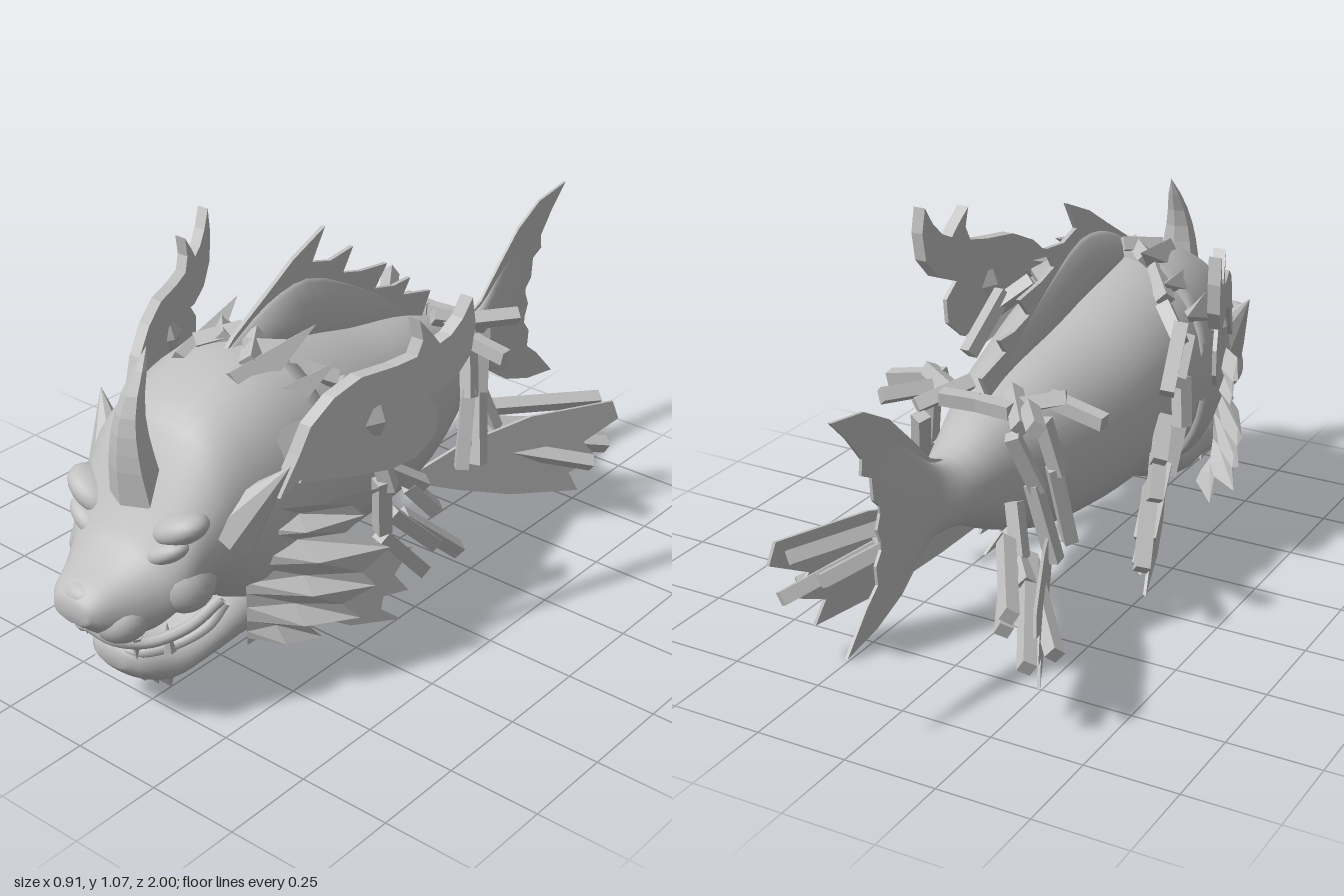
import * as THREE from 'three';

const V = (p) => new THREE.Vector3(...p);

// Copy a geometry to the other side of x = 0, keeping faces outward
function mirrorX(geo) {
  const g = geo.index ? geo.toNonIndexed() : geo.clone();
  g.scale(-1, 1, 1);
  for (const a of Object.values(g.attributes)) {
    for (let i = 0; i < a.count; i += 3) {
      for (let k = 0; k < a.itemSize; k++) {
        const t = a.getComponent(i + 1, k);
        a.setComponent(i + 1, k, a.getComponent(i + 2, k));
        a.setComponent(i + 2, k, t);
      }
    }
  }
  return g;
}

function flat(geo) {
  const g = geo.index ? geo.toNonIndexed() : geo;
  g.computeVertexNormals();
  return g;
}

function mesh3(pos, idx) {
  const g = new THREE.BufferGeometry();
  g.setAttribute('position', new THREE.Float32BufferAttribute(pos, 3));
  g.setIndex(idx);
  g.computeVertexNormals();
  return g;
}

// Smooth tube of oval rings, front to back: [z, half width, top y, bottom y]
function loft(sections, power = 0.9, n = 36) {
  const steps = (sections.length - 1) * 3;
  const a = new THREE.CatmullRomCurve3(sections.map((s) => V([s[0], s[1], 0])));
  const b = new THREE.CatmullRomCurve3(sections.map((s) => V([s[0], s[2], s[3]])));
  const pos = [], idx = [];
  const bend = (v) => Math.sign(v) * Math.abs(v) ** power;
  for (let i = 0; i <= steps; i++) {
    const p = a.getPoint(i / steps), q = b.getPoint(i / steps);
    for (let j = 0; j < n; j++) {
      const t = (j / n) * Math.PI * 2;
      pos.push(p.y * bend(Math.cos(t)), (q.y + q.z) / 2 + ((q.y - q.z) / 2) * bend(Math.sin(t)), p.x);
    }
  }
  for (let i = 0; i < steps; i++) {
    for (let j = 0; j < n; j++) {
      const k = (j + 1) % n, p = i * n, q = p + n;
      idx.push(p + j, q + j, p + k, p + k, q + j, q + k);
    }
  }
  [sections[0], sections[sections.length - 1]].forEach((s, e) => {
    const c = pos.length / 3, base = e ? steps * n : 0;
    pos.push(0, (s[2] + s[3]) / 2, s[0]);
    for (let j = 0; j < n; j++) {
      const k = (j + 1) % n;
      idx.push(c, base + (e ? k : j), base + (e ? j : k));
    }
  });
  return mesh3(pos, idx);
}

// Faceted fan from a root line to a jagged edge; even ribs are raised tips, odd ribs sunken valleys
function fan(ribs) {
  const pos = [], idx = [];
  ribs.forEach(([y0, x, y, z], i) => {
    const lift = i % 2 ? -0.008 : 0.022;
    pos.push(0.2, y0, 0.61, (0.2 + x) / 2 + lift, (y0 + y) / 2, (0.61 + z) / 2 + lift, x, y, z);
    if (i) {
      for (let c = 0; c < 2; c++) {
        const p = i * 3 + c, q = p - 3;
        idx.push(p, p + 1, q, q, p + 1, q + 1);
      }
    }
  });
  return flat(mesh3(pos, idx));
}

// Upright plate from a [z, y] outline, leaning outward by the function x(z, y)
function plate(outline, thick, x = () => 0) {
  const shape = new THREE.Shape(outline.map(([z, y]) => new THREE.Vector2(-z, y)));
  const g = new THREE.ExtrudeGeometry(shape, { depth: thick, bevelEnabled: false });
  g.translate(0, 0, -thick / 2).rotateY(Math.PI / 2);
  const p = g.attributes.position;
  for (let i = 0; i < p.count; i++) p.setX(i, p.getX(i) + x(p.getZ(i), p.getY(i)));
  return flat(g);
}

// Place a geometry that runs along y between two points
function between(g, a, b) {
  const A = V(a), B = V(b), d = B.clone().sub(A).normalize();
  g.applyQuaternion(new THREE.Quaternion().setFromUnitVectors(new THREE.Vector3(0, 1, 0), d));
  const m = A.add(B).multiplyScalar(0.5);
  return g.translate(m.x, m.y, m.z);
}
const dist = (a, b) => V(a).distanceTo(V(b));
const spike = (a, b, r, n = 4) => flat(between(new THREE.ConeGeometry(r, dist(a, b), n), a, b));
const stick = (a, b, w) => between(new THREE.BoxGeometry(w, dist(a, b), w), a, b);
const blob = (c, s, rz = 0) => new THREE.SphereGeometry(1, 20, 14).scale(...s).rotateZ(rz).translate(...c);
const tube = (pts, r) => new THREE.TubeGeometry(new THREE.CatmullRomCurve3(pts.map(V)), 20, r, 8);

export function createModel() {
  const model = new THREE.Group();
  const grey = new THREE.MeshStandardMaterial({ color: 0xbfbfbf, side: THREE.DoubleSide });
  grey.name = 'grey';
  const add = (name, geo) => {
    const m = new THREE.Mesh(geo, grey);
    m.name = name;
    model.add(m);
  };
  const pair = (name, geo) => {
    add(name + 'Left', geo);
    add(name + 'Right', mirrorX(geo));
  };

  // Fish body narrowing to the tail root
  add('body', loft([[0.6, 0.22, 0.78, 0.22], [0.45, 0.272, 0.86, 0.22], [0.2, 0.265, 0.82, 0.25], [0, 0.235, 0.765, 0.25], [-0.2, 0.185, 0.72, 0.27],
    [-0.4, 0.115, 0.65, 0.35], [-0.52, 0.075, 0.595, 0.41], [-0.6, 0.03, 0.61, 0.41], [-0.7, 0.013, 0.69, 0.36], [-0.82, 0.004, 0.78, 0.32]]));

  // Head with tapering snout and open jaw
  add('head', loft([[1, 0.055, 0.42, 0.365], [0.97, 0.085, 0.45, 0.335], [0.91, 0.12, 0.48, 0.29], [0.85, 0.155, 0.52, 0.285], [0.8, 0.19, 0.59, 0.31],
    [0.74, 0.21, 0.69, 0.335], [0.68, 0.23, 0.775, 0.32], [0.6, 0.25, 0.825, 0.25], [0.48, 0.27, 0.865, 0.19], [0.35, 0.275, 0.87, 0.22]], 0.85));
  add('lowerJaw', loft([[0.885, 0.05, 0.235, 0.18], [0.85, 0.095, 0.25, 0.14], [0.78, 0.13, 0.25, 0.105], [0.7, 0.165, 0.28, 0.13],
    [0.6, 0.19, 0.34, 0.15], [0.45, 0.2, 0.36, 0.16], [0.3, 0.14, 0.34, 0.24]]));
  add('nose', blob([0, 0.42, 0.945], [0.065, 0.036, 0.05]));
  pair('muzzle', blob([0.065, 0.35, 0.895], [0.07, 0.06, 0.07], 0.3));
  pair('cheek', blob([0.14, 0.42, 0.76], [0.075, 0.08, 0.08], 0.4));
  pair('eyelid', blob([0.115, 0.505, 0.795], [0.08, 0.032, 0.05], 0.5));
  pair('brow', blob([0.14, 0.565, 0.765], [0.085, 0.04, 0.06], 0.45));
  pair('upperLip', tube([[0, 0.325, 0.945], [0.055, 0.295, 0.92], [0.11, 0.28, 0.86], [0.17, 0.31, 0.78], [0.2, 0.36, 0.7]], 0.015));
  pair('lowerLip', tube([[0, 0.23, 0.87], [0.07, 0.23, 0.85], [0.12, 0.24, 0.79], [0.175, 0.285, 0.72], [0.195, 0.34, 0.68]], 0.015));
  pair('upperFang', spike([0.09, 0.3, 0.88], [0.085, 0.225, 0.875], 0.018, 6));
  pair('lowerFang', spike([0.12, 0.23, 0.8], [0.125, 0.32, 0.81], 0.018, 6));
  pair('temple', spike([0.19, 0.53, 0.65], [0.315, 0.71, 0.57], 0.08, 8));

  // Chin tufts
  for (let i = 0; i < 5; i++) {
    const x = (i - 2) * 0.035;
    add('chinTuft', spike([x, 0.15, 0.82 - i * 0.01], [x * 1.3, 0.068 + Math.abs(i - 2) * 0.012, 0.77], 0.04));
  }

  // Curved forehead horn, full at the base
  const hornGeo = new THREE.CylinderGeometry(1, 1, 1, 6, 8);
  const hp = hornGeo.attributes.position;
  const hornPath = new THREE.CatmullRomCurve3([V([0, 0.6, 0.755]), V([0, 0.72, 0.775]), V([0, 0.84, 0.77]), V([0, 0.975, 0.71])]);
  for (let i = 0; i < hp.count; i++) {
    const t = hp.getY(i) + 0.5, c = hornPath.getPoint(t), r = 0.078 * Math.max(1 - t, 0) ** 0.7;
    hp.setXYZ(i, hp.getX(i) * r, c.y, c.z + hp.getZ(i) * r * 0.85);
  }
  add('horn', flat(hornGeo));

  // Curled ear antlers with two upturned tips
  const earX = (z) => 0.275 + 0.36 * (0.5 - z);
  pair('earAntler', plate([[0.56, 0.6], [0.51, 0.7], [0.48, 0.77], [0.42, 0.83], [0.35, 0.865], [0.26, 0.87], [0.205, 0.88], [0.19, 0.92], [0.2, 0.975],
    [0.165, 0.93], [0.145, 0.9], [0.115, 0.915], [0.085, 0.95], [0.06, 1.0], [0.05, 0.93], [0.06, 0.85], [0.1, 0.795], [0.16, 0.77],
    [0.3, 0.78], [0.4, 0.74], [0.47, 0.66]], 0.035, earX));
  pair('earLobe', plate([[0.5, 0.62], [0.44, 0.72], [0.38, 0.79], [0.28, 0.81], [0.18, 0.78], [0.135, 0.72], [0.14, 0.65], [0.19, 0.6], [0.26, 0.585], [0.38, 0.6]],
    0.012, earX));
  pair('earBud', new THREE.OctahedronGeometry(1).scale(0.022, 0.06, 0.05).translate(0.35, 0.73, 0.29));

  // Faceted cheek mane
  pair('mane', fan([[0.56, 0.4, 0.575, 0.31], [0.52, 0.35, 0.535, 0.39], [0.49, 0.365, 0.5, 0.36], [0.45, 0.34, 0.46, 0.4], [0.41, 0.415, 0.41, 0.32], [0.36, 0.375, 0.35, 0.38],
    [0.33, 0.395, 0.305, 0.35], [0.29, 0.345, 0.265, 0.42], [0.25, 0.37, 0.215, 0.38], [0.22, 0.27, 0.2, 0.47], [0.2, 0.28, 0.14, 0.42], [0.18, 0.2, 0.16, 0.5]]));
  // Crest locks behind the skull
  [[0.08, 0.8, 0.13, 0.905], [0.15, 0.74, 0.2, 0.83], [0.2, 0.68, 0.27, 0.75]]
    .forEach(([x0, y0, x, y]) => pair('crestLock', spike([x0, y0, 0.5], [x, y, 0.26], 0.07)));

  // Saw-edged dorsal fin and its thicker root
  add('dorsalFin', plate([[0.5, 0.82], [0.42, 0.89], [0.3, 0.96], [0.2, 1.02], [0.08, 1.07], [0.13, 0.99], [0.06, 0.97], [-0.03, 0.98], [0.01, 0.92], [-0.06, 0.9],
    [-0.17, 0.885], [-0.12, 0.83], [-0.2, 0.81], [-0.27, 0.81], [-0.24, 0.77], [-0.36, 0.74], [-0.32, 0.67], [0, 0.72], [0.4, 0.76]], 0.012));
  add('dorsalRoot', loft([[0.46, 0.02, 0.86, 0.78], [0.3, 0.04, 0.94, 0.78], [0.15, 0.035, 0.96, 0.75], [-0.05, 0.02, 0.87, 0.7], [-0.25, 0.006, 0.75, 0.67]], 1.3, 12));

  // Forked tail fin with scalloped rear edge
  add('tailFin', plate([[-0.52, 0.585], [-0.6, 0.62], [-0.68, 0.7], [-0.77, 0.785], [-0.87, 0.84], [-1, 0.86], [-0.94, 0.8], [-0.885, 0.73], [-0.89, 0.69], [-0.85, 0.67], [-0.845, 0.61],
    [-0.815, 0.58], [-0.835, 0.53], [-0.815, 0.48], [-0.845, 0.44], [-0.84, 0.39], [-0.89, 0.35], [-0.975, 0.26], [-0.85, 0.28], [-0.74, 0.32], [-0.64, 0.39], [-0.52, 0.415]], 0.008));

  // Paired belly fins
  pair('pectoralFin', plate([[0.42, 0.28], [0.39, 0.19], [0.33, 0.11], [0.23, 0.045], [0.07, 0.003], [0.13, 0.055], [0.12, 0.09], [0.04, 0.08], [0.08, 0.14], [0.02, 0.2], [0.12, 0.25], [0.25, 0.29]],
    0.009, (z, y) => 0.15 + 0.25 * (0.4 - z) + 0.1 * (0.2 - y)));
  pair('pelvicFin', plate([[-0.14, 0.27], [-0.3, 0.2], [-0.45, 0.145], [-0.65, 0.105], [-0.62, 0.17], [-0.7, 0.2], [-0.66, 0.26], [-0.76, 0.31], [-0.74, 0.37], [-0.5, 0.38], [-0.3, 0.34]],
    0.009, (z) => 0.09 + 0.47 * (-0.15 - z)));

  // Blocky strands: front wreath, then rear wreath with trailing strands
  [[[0.03, 0.87, 0.42], [0.11, 0.86, 0.34]], [[0.09, 0.86, 0.46], [0.02, 0.88, 0.36]], [[0.12, 0.83, 0.36], [0.2, 0.78, 0.27]],
    [[0.2, 0.77, 0.26], [0.28, 0.7, 0.2]], [[0.27, 0.74, 0.22], [0.3, 0.6, 0.08]], [[0.26, 0.68, 0.28], [0.31, 0.62, 0.12]],
    [[0.28, 0.6, 0.21], [0.3, 0.47, 0.18]], [[0.29, 0.5, 0.2], [0.27, 0.33, 0.17]], [[0.26, 0.5, 0.15], [0.3, 0.42, 0.04]],
    [[0.28, 0.43, 0.08], [0.31, 0.33, 0.0]], [[0.27, 0.37, 0.14], [0.3, 0.22, -0.01]], [[0.26, 0.33, 0.08], [0.32, 0.17, -0.09]], [[0.25, 0.3, 0.15], [0.27, 0.13, 0.0]]]
    .forEach(([a, b]) => pair('frontStrand', stick(a, b, 0.038)));
  [[[0.0, 0.68, -0.37], [0.1, 0.68, -0.38]], [[0.06, 0.7, -0.3], [0.15, 0.66, -0.42]], [[0.1, 0.68, -0.33], [0.2, 0.7, -0.28]],
    [[0.15, 0.69, -0.28], [0.31, 0.66, -0.29]], [[0.14, 0.69, -0.36], [0.22, 0.69, -0.47]], [[0.16, 0.65, -0.33], [0.19, 0.5, -0.3]],
    [[0.18, 0.52, -0.31], [0.2, 0.3, -0.26]], [[0.13, 0.64, -0.43], [0.17, 0.48, -0.37]], [[0.16, 0.5, -0.38], [0.2, 0.28, -0.34]], [[0.13, 0.46, -0.42], [0.17, 0.32, -0.46]],
    [[0.1, 0.36, -0.38], [0.22, 0.3, -0.52]], [[0.17, 0.32, -0.42], [0.35, 0.22, -0.75]], [[0.14, 0.38, -0.48], [0.31, 0.35, -0.76]],
    [[0.16, 0.3, -0.4], [0.37, 0.21, -0.65]], [[0.12, 0.34, -0.42], [0.26, 0.27, -0.7]]]
    .forEach(([a, b]) => pair('rearStrand', stick(a, b, 0.036)));

  return model;
}
